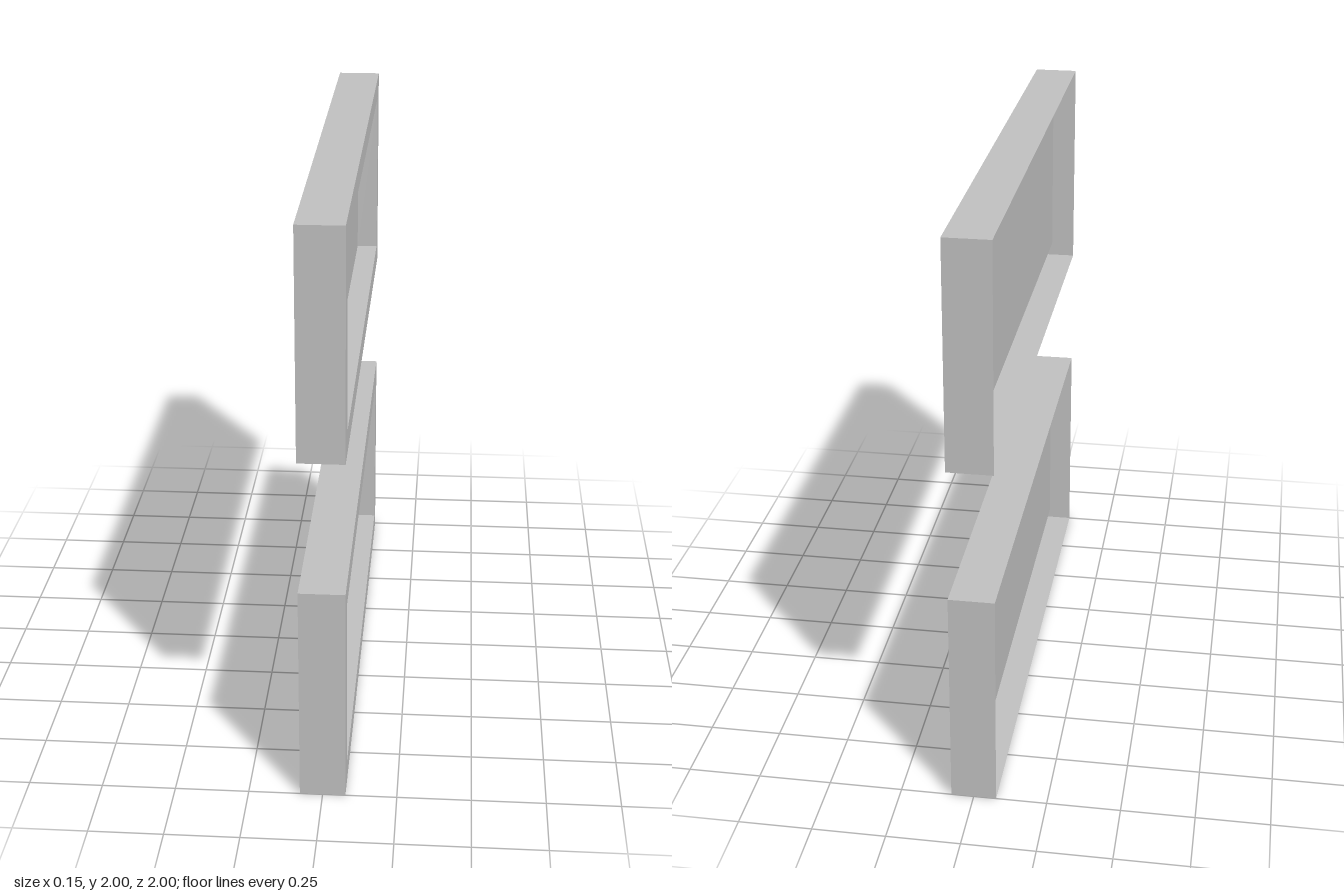
import * as THREE from 'three';

const HALF = 0.077;   // half of the depth along x
const RIM = 0.077;    // width of the raised rim
const LENGTH = 2, HEIGHT = 0.77;

const grey = new THREE.MeshStandardMaterial({ color: 0xc0c0c0, side: THREE.DoubleSide });
grey.name = 'light grey';

function addMesh(parent, name, geometry) {
  const mesh = new THREE.Mesh(geometry, grey);
  mesh.name = name;
  parent.add(mesh);
  return mesh;
}

// Four thin walls round a rectangle, running from depth z0 to z1;
// inward turns their faces towards the middle.
function addWalls(parent, name, w, h, z0, z1, inward) {
  const depth = z1 - z0, mid = (z0 + z1) / 2, turn = inward ? -1 : 1;
  for (const s of [-1, 1]) {
    const end = new THREE.PlaneGeometry(depth, h).rotateY(s * turn * Math.PI / 2);
    addMesh(parent, name + 'End', end.translate(s * w / 2, 0, mid));
    const edge = new THREE.PlaneGeometry(w, depth).rotateX(-s * turn * Math.PI / 2);
    addMesh(parent, name + (s > 0 ? 'Top' : 'Bottom'), edge.translate(0, s * h / 2, mid));
  }
}

function rectangle(PathType, w, h) {
  return new PathType([[-1, -1], [1, -1], [1, 1], [-1, 1]]
    .map(([x, y]) => new THREE.Vector2(x * w / 2, y * h / 2)));
}

// Hollow tray, open at the back, with a recessed panel inside a rim
function createTray() {
  const tray = new THREE.Group();
  const innerW = LENGTH - 2 * RIM, innerH = HEIGHT - 2 * RIM;

  addWalls(tray, 'outerWall', LENGTH, HEIGHT, -HALF, HALF, false);
  addWalls(tray, 'recessWall', innerW, innerH, 0, HALF, true);

  const rim = rectangle(THREE.Shape, LENGTH, HEIGHT);
  rim.holes.push(rectangle(THREE.Path, innerW, innerH));
  addMesh(tray, 'rim', new THREE.ShapeGeometry(rim).translate(0, 0, HALF));
  addMesh(tray, 'recessedPanel', new THREE.PlaneGeometry(innerW, innerH));

  tray.rotation.y = Math.PI / 2; // recess faces +x
  return tray;
}

export function createModel() {
  const model = new THREE.Group();
  model.name = 'panelPair';
  for (const [name, y] of [['lowerTray', HEIGHT / 2], ['upperTray', 2 - HEIGHT / 2]]) {
    const tray = createTray();
    tray.name = name;
    tray.position.y = y;
    model.add(tray);
  }
  return model;
}
